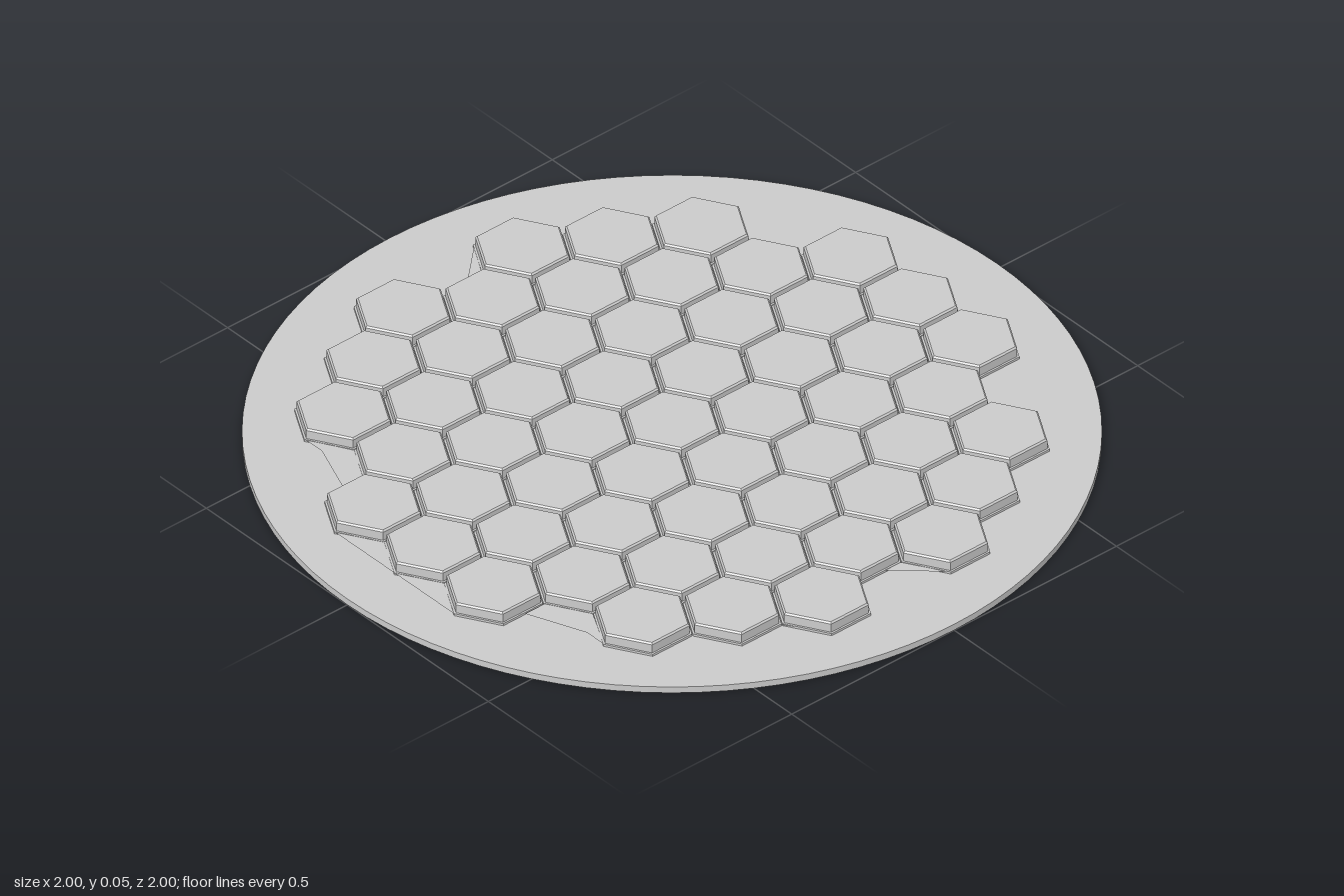
import * as THREE from 'three';

const PITCH = 0.212;                       // distance between neighbouring tiles
const ROW = PITCH * Math.sqrt(3) / 2;
const PLATE = 0.017;
const TOP = 0.05;

const flat = new THREE.MeshStandardMaterial({ color: 0xcccccc, flatShading: true });
const smooth = new THREE.MeshStandardMaterial({ color: 0xcccccc });
const thin = new THREE.MeshStandardMaterial({ color: 0xcccccc, flatShading: true, side: THREE.DoubleSide });

// Six-sided prism given by its half widths across the flats, points along z
function hexPrism(topHalf, bottomHalf, y0, y1) {
  const k = 2 / Math.sqrt(3);
  const g = new THREE.CylinderGeometry(topHalf * k, bottomHalf * k, y1 - y0, 6);
  g.translate(0, (y0 + y1) / 2, 0);
  return g;
}

export function createModel() {
  const model = new THREE.Group();

  // Round base plate
  const plate = new THREE.Mesh(new THREE.CylinderGeometry(1, 1, PLATE, 96), smooth);
  plate.name = 'basePlate';
  plate.position.y = PLATE / 2;
  model.add(plate);

  // Tile layers: wide foot, straight body, chamfered cap
  const layers = [
    ['tileFoot', hexPrism(0.105, 0.105, PLATE - 0.002, 0.023)],
    ['tileBody', hexPrism(0.1, 0.1, 0.023, TOP - 0.004)],
    ['tileCap', hexPrism(0.096, 0.1, TOP - 0.004, TOP)],
  ];

  // Honeycomb of tiles, row by row from back to front
  const counts = [3, 6, 7, 8, 7, 8, 7, 6, 3];
  counts.forEach((count, r) => {
    for (let i = 0; i < count; i++) {
      const tile = new THREE.Group();
      tile.name = 'hexTile';
      tile.position.set((i - (count - 1) / 2) * PITCH, 0, (r - 4) * ROW);
      for (const [name, geometry] of layers) {
        const mesh = new THREE.Mesh(geometry, flat);
        mesh.name = name;
        tile.add(mesh);
      }
      model.add(tile);
    }
  });

  // Low webs that bridge the notches around the front rim: [x, z] outlines
  const webs = [
    [[-0.21, 0.855], [0.21, 0.855], [0.1, 0.79], [0, 0.84], [-0.1, 0.79]],
  ];
  for (const s of [-1, 1]) {
    webs.push([[s * 0.62, 0.61], [s * 0.32, 0.73], [s * 0.32, 0.67], [s * 0.42, 0.61], [s * 0.53, 0.67]]);
    webs.push([[s * 0.84, -0.12], [s * 0.74, -0.01], [s * 0.74, -0.06]]);
    webs.push([[s * 0.84, 0.24], [s * 0.74, 0.31], [s * 0.74, 0.3]]);
  }
  for (const outline of webs) {
    const shape = new THREE.Shape(outline.map(([x, z]) => new THREE.Vector2(x, z)));
    const web = new THREE.Mesh(new THREE.ShapeGeometry(shape).rotateX(Math.PI / 2), thin);
    web.name = 'rimWeb';
    web.position.y = 0.022;
    model.add(web);
  }

  return model;
}
